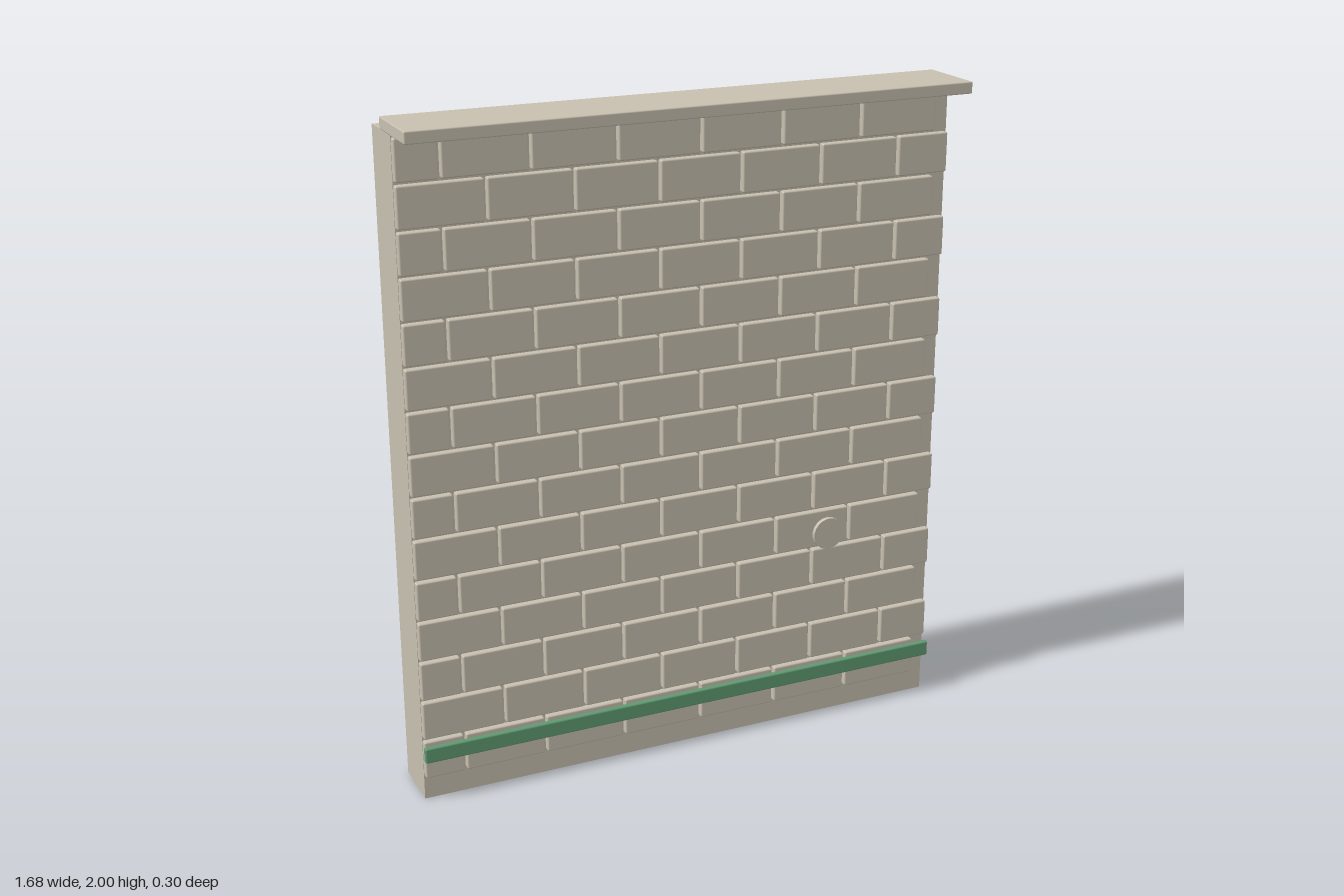
import * as THREE from 'three';
import { RoundedBoxGeometry } from 'three/addons/geometries/RoundedBoxGeometry.js';

export function createModel() {
  const group = new THREE.Group();
  const stone = new THREE.MeshStandardMaterial({ name: 'stone', color: 0xc8c0b0 });
  const green = new THREE.MeshStandardMaterial({ name: 'green', color: 0x5f9a70 });

  function add(name, geometry, material, x, y, z) {
    const mesh = new THREE.Mesh(geometry, material);
    mesh.name = name;
    mesh.position.set(x, y, z);
    group.add(mesh);
    return mesh;
  }

  // Box given by its limits, with slightly eased edges when radius > 0
  function block(name, material, [x0, x1], [y0, y1], [z0, z1], radius = 0) {
    const size = [x1 - x0, y1 - y0, z1 - z0];
    const geometry = radius
      ? new RoundedBoxGeometry(...size, 1, radius)
      : new THREE.BoxGeometry(...size);
    add(name, geometry, material, (x0 + x1) / 2, (y0 + y1) / 2, (z0 + z1) / 2);
  }

  // Backing slab and overhanging coping
  block('wallSlab', stone, [-0.84, 0.84], [0, 1.965], [-0.15, 0.02]);
  block('coping', stone, [-0.842, 0.842], [1.965, 2], [-0.072, 0.15], 0.004);

  // Running-bond courses; rows alternate by half a brick
  const pitchX = 0.252, pitchY = 0.1262, brickW = 0.244, brickH = 0.118;
  for (let row = 0; row < 15; row++) {
    const y = 0.076 + row * pitchY;
    const shifted = row % 2 === 0;
    const start = shifted ? -0.964 : -0.839;
    for (let col = 0; col < 7; col++) {
      const x0 = Math.max(start + col * pitchX, -0.839);
      const x1 = Math.min(start + col * pitchX + brickW, 0.836);
      block('brick', stone, [x0, x1], [y, y + brickH], [0.008, 0.04], 0.005);
    }
  }

  // Green rail along the foot
  block('rail', green, [-0.842, 0.842], [0.132, 0.18], [0.036, 0.055], 0.005);

  // Round knob: short stem and wider disc
  const stem = add('knobStem', new THREE.CylinderGeometry(0.032, 0.032, 0.03, 32), stone, 0.46, 0.632, 0.045);
  const disc = add('knobDisc', new THREE.CylinderGeometry(0.05, 0.05, 0.013, 32), stone, 0.46, 0.632, 0.062);
  stem.rotation.x = disc.rotation.x = Math.PI / 2;

  return group;
}
